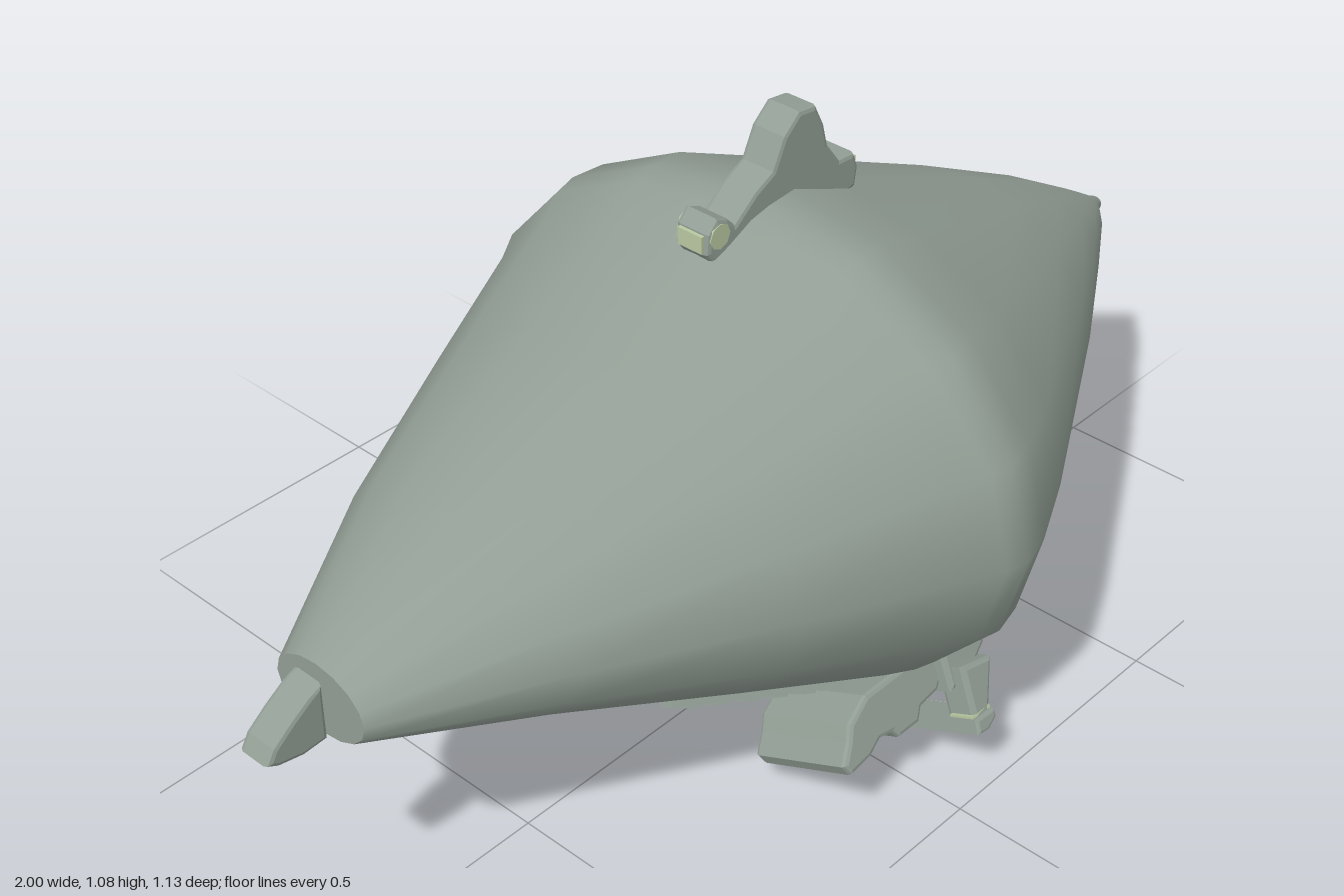
import * as THREE from 'three';
import { mergeVertices } from 'three/addons/utils/BufferGeometryUtils.js';

const hullGrey = new THREE.MeshStandardMaterial({ color: 0x929e95 });
hullGrey.name = 'hull grey green';
const paleGreen = new THREE.MeshStandardMaterial({ color: 0xb9c8a0 });
paleGreen.name = 'pale green';

// Hull stations: x, centre height, half height, half width
const STATIONS = [
  [-0.875, 0.505, 0.065, 0.095], [-0.6, 0.525, 0.175, 0.255], [-0.3, 0.517, 0.293, 0.405],
  [-0.05, 0.512, 0.392, 0.525], [0.0, 0.517, 0.41, 0.555], [0.04, 0.517, 0.418, 0.565],
  [0.1, 0.519, 0.42, 0.55], [0.23, 0.517, 0.367, 0.485], [0.6, 0.522, 0.207, 0.275],
  [0.8, 0.522, 0.113, 0.15], [0.93, 0.517, 0.043, 0.065], [0.985, 0.508, 0.018, 0.02], [1, 0.507, 0.012, 0.014],
];
const SIDES = 16;

// Point on the hull at position x and angle t (0 = +z, 90 degrees = up)
function hullPoint(x, t, lift = 0) {
  let i = 0;
  while (i < STATIONS.length - 2 && STATIONS[i + 1][0] < x) i++;
  const p = STATIONS[i], q = STATIONS[i + 1];
  const k = (x - p[0]) / (q[0] - p[0]);
  const [c, b, a] = [1, 2, 3].map((n) => p[n] + (q[n] - p[n]) * k);
  return new THREE.Vector3(x, c + (b + lift) * Math.sin(t), (a + lift) * Math.cos(t));
}

function hullGeometry() {
  const pos = [], index = [], n = STATIONS.length;
  const ring = (x) => {
    for (let j = 0; j < SIDES; j++) pos.push(...hullPoint(x, (j / SIDES) * Math.PI * 2).toArray());
  };
  STATIONS.forEach((s) => ring(s[0]));
  for (let i = 0; i < n - 1; i++) {
    for (let j = 0; j < SIDES; j++) {
      const k = (j + 1) % SIDES;
      const a = i * SIDES + j, b = a + SIDES, c = (i + 1) * SIDES + k, d = i * SIDES + k;
      index.push(a, b, c, a, c, d);
    }
  }
  // End caps on their own vertices, so the rims stay sharp
  [STATIONS[0], STATIONS[n - 1]].forEach((s, e) => {
    const base = pos.length / 3;
    ring(s[0]);
    pos.push(s[0], s[1], 0);
    for (let j = 0; j < SIDES; j++) {
      const a = base + j, b = base + ((j + 1) % SIDES);
      index.push(base + SIDES, ...(e ? [b, a] : [a, b]));
    }
  });
  const g = new THREE.BufferGeometry();
  g.setAttribute('position', new THREE.Float32BufferAttribute(pos, 3));
  g.setIndex(index);
  g.computeVertexNormals();
  return g;
}

// Outline in x and y, given a bevelled thickness centred on z = 0
function plate(name, points, width, material, bevel = 0.008) {
  const shape = new THREE.Shape(points.map(([x, y]) => new THREE.Vector2(x, y)));
  const g = new THREE.ExtrudeGeometry(shape, {
    depth: width - 2 * bevel, bevelEnabled: true, bevelThickness: bevel,
    bevelSize: bevel, bevelOffset: -bevel, bevelSegments: 2,
  });
  g.translate(0, 0, bevel - width / 2);
  const mesh = new THREE.Mesh(g, material);
  mesh.name = name;
  return mesh;
}

// Ribbed strip of small blocks following the hull
function ribbedStrip(name, x0, x1, t, count) {
  const strip = new THREE.Group();
  strip.name = name;
  const step = (x1 - x0) / count;
  for (let i = 0; i < count; i++) {
    const a = hullPoint(x0 + i * step, t, 0.002), b = hullPoint(x0 + (i + 1) * step, t, 0.002);
    const along = b.clone().sub(a), length = along.length();
    along.normalize();
    const across = hullPoint(a.x, t + 0.02).sub(hullPoint(a.x, t - 0.02));
    across.addScaledVector(along, -across.dot(along)).normalize();
    const out = new THREE.Vector3().crossVectors(along, across);
    const rib = new THREE.Mesh(new THREE.BoxGeometry(length * 0.96, 0.032, i % 2 ? 0.026 : 0.018), hullGrey);
    rib.name = 'rib';
    rib.applyMatrix4(new THREE.Matrix4().makeBasis(along, across, out).setPosition(a.add(b).multiplyScalar(0.5)));
    strip.add(rib);
  }
  return strip;
}

// Landing foot under one side; s is +1 for front (+z), -1 for back
function landingFoot(s) {
  const foot = new THREE.Group();
  foot.name = s > 0 ? 'frontFoot' : 'backFoot';
  foot.position.set(0, 0.135, 0.3 * s);
  foot.rotation.x = -0.445 * s;
  const add = (mesh, y, z) => {
    mesh.position.set(0, y, z * s);
    foot.add(mesh);
  };
  // Jagged claw reaching backwards
  add(plate('claw', [
    [-0.19, -0.03], [-0.18, -0.05], [-0.13, -0.045], [-0.1, -0.03], [-0.07, -0.035], [-0.06, -0.05], [-0.01, -0.05],
    [0.005, -0.03], [0.05, -0.025], [0.075, 0.0], [0.07, 0.05], [-0.1, 0.05], [-0.15, 0.025], [-0.165, 0.0],
  ], 0.21, hullGrey), 0, 0);
  // Block under the hull and the strut down to the pad
  add(plate('footBlock', [
    [0.055, -0.03], [0.12, -0.015], [0.16, 0.01], [0.155, 0.04], [0.12, 0.055], [0.06, 0.04],
  ], 0.09, hullGrey), 0, 0.085);
  add(plate('strut', [[0.06, -0.09], [0.095, -0.09], [0.14, -0.005], [0.07, 0.01]], 0.06, hullGrey), 0, 0.125);
  // Long thin pad with a pale edge facing forward
  add(plate('pad', [
    [0.05, -0.104], [0.075, -0.107], [0.1, -0.095], [0.1, -0.08], [0.055, -0.078],
  ], 0.285, hullGrey, 0.005), 0, 0.022);
  const edge = new THREE.Mesh(new THREE.BoxGeometry(0.008, 0.012, 0.26), paleGreen);
  edge.name = 'padEdge';
  add(edge, -0.087, 0.022);
  edge.position.x = 0.098;
  const cap = new THREE.Mesh(new THREE.BoxGeometry(0.045, 0.008, 0.05), paleGreen);
  cap.name = 'padCap';
  add(cap, -0.078, 0.13);
  cap.position.x = 0.078;
  return foot;
}

export function createModel() {
  const model = new THREE.Group();
  model.name = 'spindleCraft';

  const hull = new THREE.Mesh(mergeVertices(hullGeometry()), hullGrey);
  hull.name = 'hull';
  model.add(hull);

  // Top fin with a knob at each end
  model.add(plate('topFin', [
    [-0.098, 0.9], [-0.095, 0.935], [-0.075, 0.956], [-0.05, 0.945], [-0.035, 0.93], [0.01, 0.965], [0.05, 0.985],
    [0.075, 1.035], [0.11, 1.065], [0.15, 1.06], [0.17, 1.02], [0.18, 0.98], [0.21, 0.94], [0.245, 0.938],
    [0.256, 0.91], [0.25, 0.875], [0.215, 0.868], [0.1, 0.88], [-0.05, 0.87], [-0.08, 0.875],
  ], 0.068, hullGrey));
  // Pale faces on the fin knobs
  for (const [x, y] of [[-0.097, 0.917], [0.253, 0.91]]) {
    const face = new THREE.Mesh(new THREE.BoxGeometry(0.009, 0.03, 0.05), paleGreen);
    face.name = 'finKnobFace';
    face.position.set(x, y, 0);
    model.add(face);
  }
  for (const s of [-1, 1]) {
    const side = new THREE.Mesh(new THREE.CylinderGeometry(0.022, 0.022, 0.008, 8), paleGreen);
    side.name = 'finKnobSide';
    side.rotation.x = Math.PI / 2;
    side.position.set(-0.07, 0.924, 0.031 * s);
    model.add(side);
  }

  // Tail piece, set just behind the hull
  model.add(plate('tail', [
    [-1, 0.475], [-0.985, 0.5], [-0.95, 0.527], [-0.915, 0.55], [-0.89, 0.56], [-0.89, 0.458], [-0.935, 0.455], [-0.98, 0.464],
  ], 0.062, hullGrey));

  // Feet and ribbed strips under both sides
  for (const s of [1, -1]) {
    const t = s > 0 ? -0.9 : Math.PI + 0.9;
    const side = s > 0 ? 'front' : 'back';
    model.add(landingFoot(s));
    model.add(ribbedStrip(side + 'NoseStrip', 0.17, 0.67, t, 20));
    model.add(ribbedStrip(side + 'TailStrip', -0.4, -0.1, t, 12));
  }
  return model;
}
